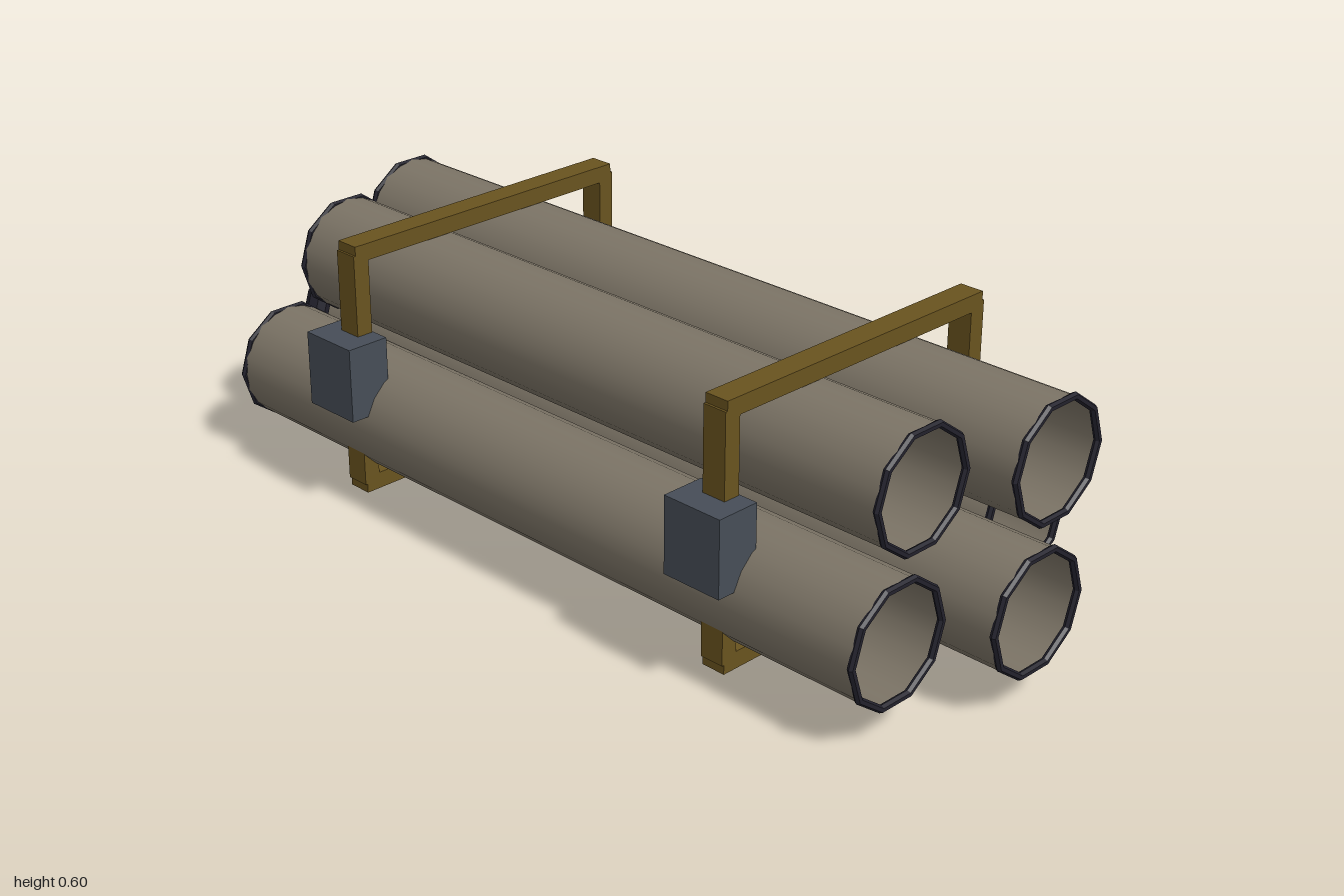
import * as THREE from 'three';

const mat = (name, color, side = THREE.FrontSide) => {
  const m = new THREE.MeshStandardMaterial({ color, side });
  m.name = name;
  return m;
};

export function createModel() {
  const group = new THREE.Group();
  const pipeMat = mat('pipe taupe', 0x7c7466, THREE.DoubleSide);
  const rimMat = mat('dark rim', 0x22212c);
  const frameMat = mat('ochre frame', 0x69531f);
  const bracketMat = mat('slate bracket', 0x464d57);
  rimMat.flatShading = true;

  const add = (parent, name, geo, material, x, y, z) => {
    const mesh = new THREE.Mesh(geo, material);
    mesh.name = name;
    mesh.position.set(x, y, z);
    parent.add(mesh);
  };
  const ring = (radius, tube, sides) =>
    new THREE.TorusGeometry(radius, tube, sides, 10).rotateY(Math.PI / 2);

  // Open pipes lying along x, each with a ten-sided rim on both ends: y, z, half length
  const pipes = [
    [0.2, 0.254, 0.885],
    [0.2, -0.012, 0.992],
    [0.2, -0.278, 0.757],
    [0.438, 0.122, 0.82],
    [0.438, -0.145, 0.92],
  ];
  const rimGeo = ring(0.125, 0.008, 6);
  pipes.forEach(([y, z, half], i) => {
    const pipe = new THREE.Group();
    pipe.name = `pipe${i + 1}`;
    pipe.position.set(0, y, z);
    const body = new THREE.CylinderGeometry(0.125, 0.125, half * 2, 20, 1, true).rotateZ(Math.PI / 2);
    add(pipe, 'pipeBody', body, pipeMat, 0, 0, 0);
    for (const s of [-1, 1]) add(pipe, 'pipeRim', rimGeo, rimMat, s * half, 0, 0);
    group.add(pipe);
  });

  // Large collar around the right end of the middle pipe
  add(group, 'collar', ring(0.179, 0.028, 8), rimMat, -0.925, 0.2, -0.012);

  // Two rectangular strap frames with a bracket on the front post
  const barGeo = new THREE.BoxGeometry(0.055, 0.037, 0.728);
  const postGeo = new THREE.BoxGeometry(0.055, 0.525, 0.038);
  const bracketGeo = new THREE.BoxGeometry(0.14, 0.164, 0.098);
  for (const x of [-0.527, 0.527]) {
    const frame = new THREE.Group();
    frame.name = x > 0 ? 'leftFrame' : 'rightFrame';
    frame.position.x = x;
    add(frame, 'topBar', barGeo, frameMat, 0, 0.582, -0.012);
    add(frame, 'bottomBar', barGeo, frameMat, 0, 0.054, -0.012);
    add(frame, 'frontPost', postGeo, frameMat, 0, 0.318, 0.338);
    add(frame, 'backPost', postGeo, frameMat, 0, 0.318, -0.362);
    add(frame, 'bracket', bracketGeo, bracketMat, 0, 0.319, 0.365);
    group.add(frame);
  }
  return group;
}
